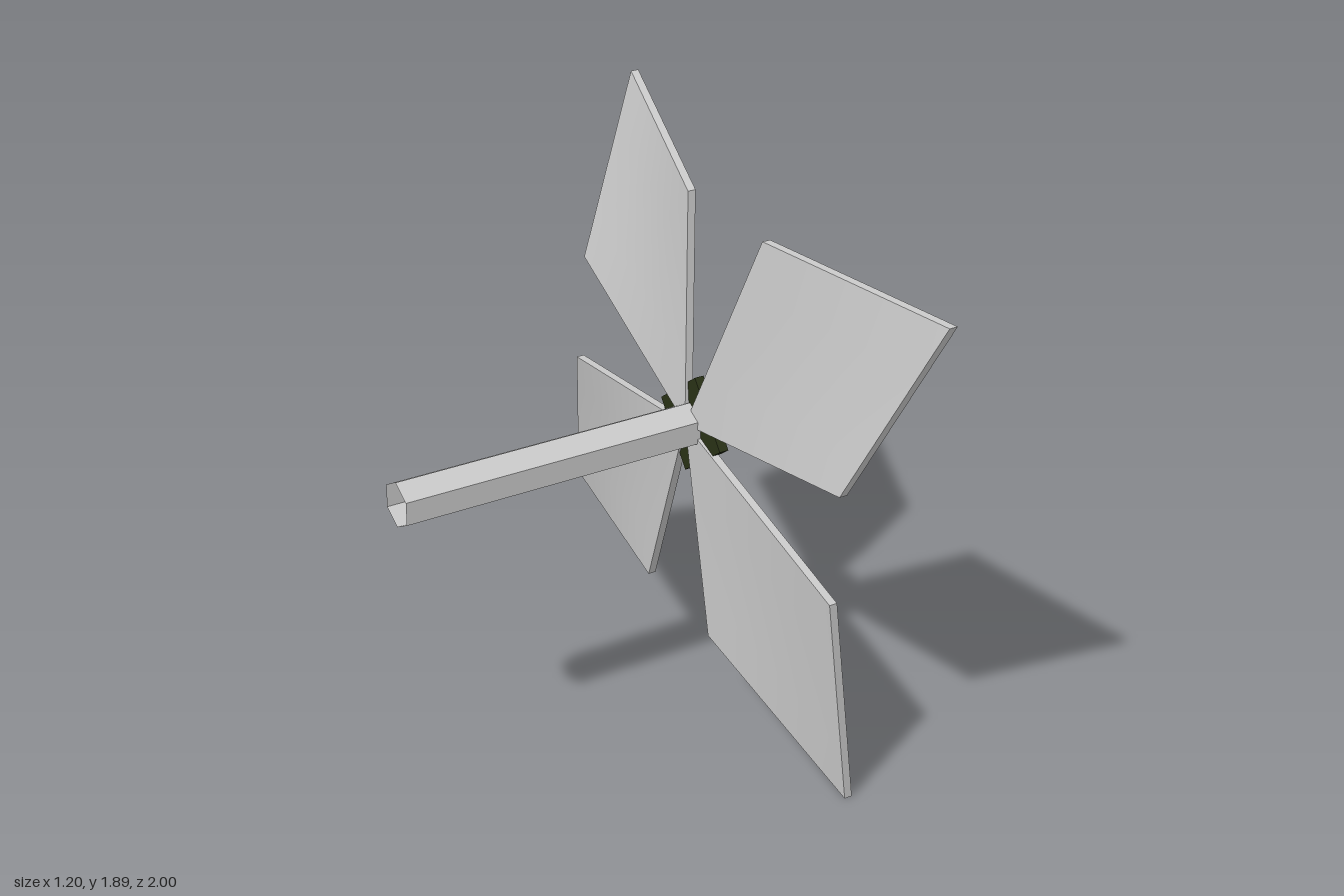
import * as THREE from 'three';
import { toCreasedNormals } from 'three/addons/utils/BufferGeometryUtils.js';

const CENTRE_Y = 0.995;
const THICKNESS = 0.026;

// Thin four-cornered blade: a box whose corners are moved to the given points,
// blended evenly in between. Corners are back-face [x, y, z], counter-clockwise seen from +x.
function bladeGeometry(root, a, tip, b) {
  const geo = new THREE.BoxGeometry(1, 1, 1, 4, 4, 1);
  const pos = geo.attributes.position;
  for (let i = 0; i < pos.count; i++) {
    const u = pos.getX(i) + 0.5;
    const v = pos.getY(i) + 0.5;
    const front = pos.getZ(i) + 0.5;
    const p = [0, 1, 2].map((k) =>
      (1 - u) * (1 - v) * root[k] + u * (1 - v) * a[k] + u * v * tip[k] + (1 - u) * v * b[k]);
    pos.setXYZ(i, p[0] + front * THICKNESS, p[1], p[2]);
  }
  return toCreasedNormals(geo, 0.5);
}

export function createModel() {
  const group = new THREE.Group();
  const grey = new THREE.MeshStandardMaterial({ color: 0xcccccc });
  const greyOpen = new THREE.MeshStandardMaterial({
    color: 0xcccccc, flatShading: true, side: THREE.DoubleSide,
  });
  const green = new THREE.MeshStandardMaterial({ color: 0x293116 });

  const add = (name, geometry, material) => {
    const mesh = new THREE.Mesh(geometry, material);
    mesh.name = name;
    group.add(mesh);
    return mesh;
  };

  // Six-sided open shaft lying along x, one ridge pointing up
  const shaftGeo = new THREE.CylinderGeometry(0.0725, 0.0725, 0.98, 6, 1, true);
  shaftGeo.rotateY(Math.PI / 2);
  shaftGeo.rotateZ(Math.PI / 2);
  add('shaft', shaftGeo, greyOpen).position.set(-0.11, CENTRE_Y, 0);

  // Square hub plate
  const hub = add('hub', new THREE.BoxGeometry(0.03, 0.235, 0.235), green);
  hub.position.set(0.396, CENTRE_Y, 0.002);
  hub.rotation.x = Math.PI / 4 + 0.12;

  // Blades, each swept forward towards its tip
  const root = [0.364, 1, 0];
  const blades = {
    bladeUpperFront: [[0.42, 1.687, 0.285], [0.515, 1.69, 1.0], [0.41, 1.085, 0.72]],
    bladeUpperBack: [[0.415, 1.275, -0.69], [0.545, 1.887, -0.63], [0.41, 1.71, -0.085]],
    bladeLowerBack: [[0.42, 0.307, -0.28], [0.573, 0.302, -1.0], [0.405, 0.91, -0.72]],
    bladeLowerFront: [[0.418, 0.717, 0.695], [0.518, 0, 0.697], [0.41, 0.28, 0.092]],
  };
  for (const [name, [first, tip, second]] of Object.entries(blades)) {
    add(name, bladeGeometry(root, first, tip, second), grey);
  }

  return group;
}
